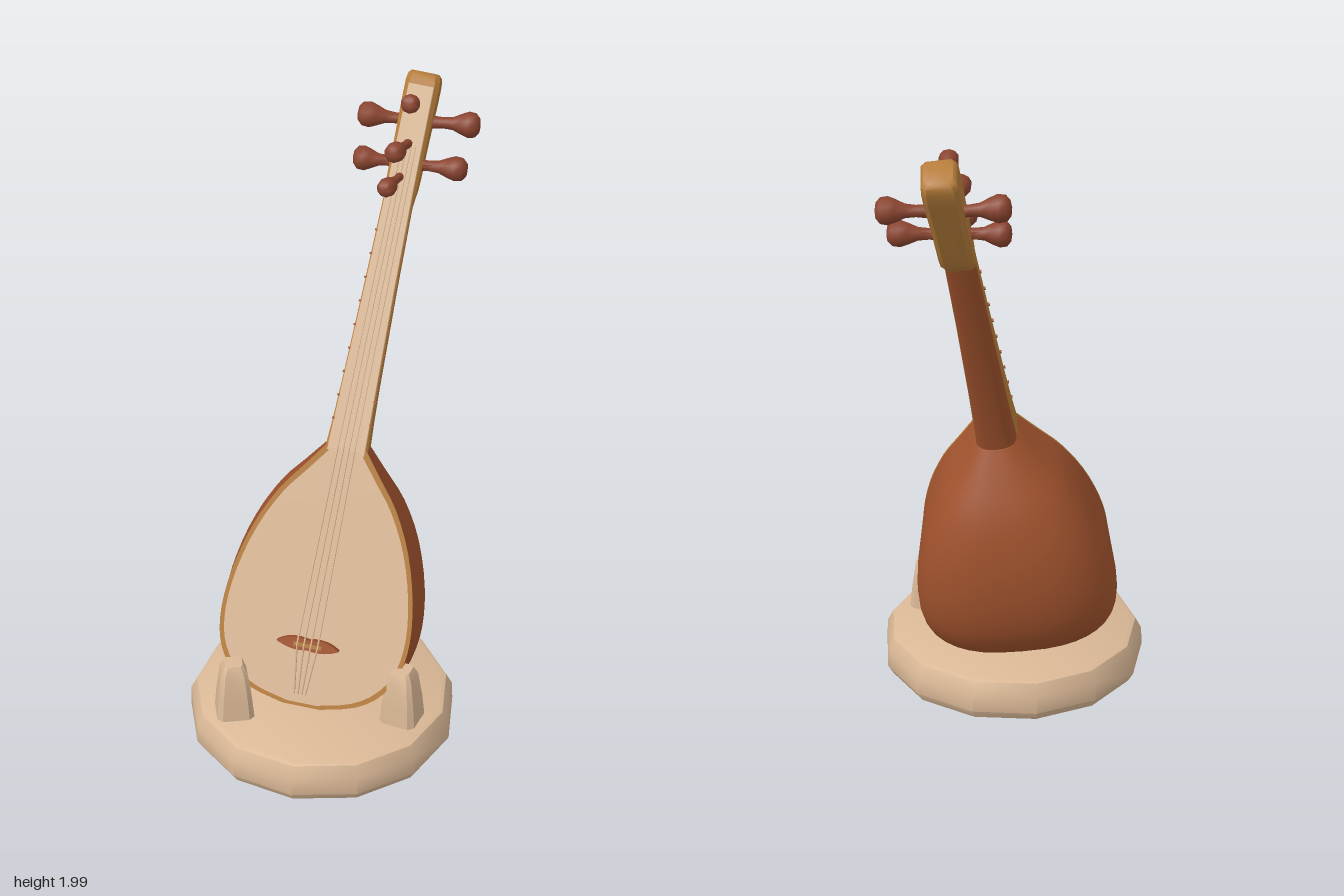
import * as THREE from 'three';
import { toCreasedNormals } from 'three/addons/utils/BufferGeometryUtils.js';

const mat = (name, color) => {
  const m = new THREE.MeshStandardMaterial({ color });
  m.name = name;
  return m;
};
const V = (x, y, z) => new THREE.Vector3(x, y, z);

// Closed skin through rings of equal point count, listed from bottom to top
function loft(rings, crease = 0.7) {
  const n = rings[0].length, pos = [], idx = [];
  rings.forEach(r => r.forEach(p => pos.push(p.x, p.y, p.z)));
  for (let i = 0; i < rings.length - 1; i++) {
    for (let j = 0; j < n; j++) {
      const a = i * n + j, b = i * n + (j + 1) % n;
      idx.push(a, b, a + n, b, b + n, a + n);
    }
  }
  [0, rings.length - 1].forEach((ri, top) => {
    const c = pos.length / 3, m = V(0, 0, 0);
    rings[ri].forEach(p => m.addScaledVector(p, 1 / n));
    pos.push(m.x, m.y, m.z);
    for (let j = 0; j < n; j++) {
      const a = ri * n + j, b = ri * n + (j + 1) % n;
      top ? idx.push(c, a, b) : idx.push(c, b, a);
    }
  });
  const g = new THREE.BufferGeometry();
  g.setAttribute('position', new THREE.Float32BufferAttribute(pos, 3));
  g.setIndex(idx);
  return toCreasedNormals(g, crease);
}

// D-shaped ring: flat front at z = z0, rounded back reaching z0 - d
function dRing(y, w, d, z0, power, bulge, steps) {
  const ring = [];
  for (let i = 0; i <= steps; i++) {
    const a = Math.PI * i / steps, c = Math.cos(a), s = Math.abs(Math.sin(a));
    const x = w * Math.sign(c) * Math.pow(Math.abs(c), power) * (1 + bulge * Math.sin(Math.min(a, Math.PI - a) * 2));
    ring.push(V(x, y, z0 - d * Math.pow(s, power)));
  }
  return ring;
}

// Rectangular ring with cut corners
function boxRing(y, w, z1, z0, c) {
  return [[w, z1 - c], [w, z0 + c], [w - c, z0], [c - w, z0], [-w, z0 + c], [-w, z1 - c], [c - w, z1], [w - c, z1]]
    .map(([x, z]) => V(x, y, z));
}

// Group standing at a point, its y axis along dir and its face turned slightly to +x
function frame(name, origin, dir) {
  const y = dir.clone().normalize();
  const x = V(Math.cos(0.09), 0, -Math.sin(0.09));
  x.addScaledVector(y, -x.dot(y)).normalize();
  const g = new THREE.Group();
  g.name = name;
  g.quaternion.setFromRotationMatrix(new THREE.Matrix4().makeBasis(x, y, x.clone().cross(y)));
  g.position.copy(origin);
  return g;
}

export function createModel() {
  const tan = mat('pale wood', 0xdab896);
  const brown = mat('red brown wood', 0xa0522d);
  const ochre = mat('ochre wood', 0xb57c3a);
  const pegWood = mat('dark red wood', 0x8b4530);

  const model = new THREE.Group();
  model.name = 'luteOnStand';
  const add = (parent, name, geo, material) => {
    const m = new THREE.Mesh(geo, material);
    m.name = name;
    parent.add(m);
    return m;
  };
  const alongY = (mesh, a, b) => {
    mesh.position.copy(a);
    mesh.quaternion.setFromUnitVectors(V(0, 1, 0), b.clone().sub(a).normalize());
  };
  const lathe = (pts, seg, crease) =>
    toCreasedNormals(new THREE.LatheGeometry(pts.map(p => new THREE.Vector2(...p)), seg), crease);
  const rod = (parent, name, a, b, r) => {
    const len = a.distanceTo(b);
    alongY(add(parent, name, new THREE.CylinderGeometry(r, r, len, 6).translate(0, len / 2, 0), tan), a, b);
  };

  // Stand: faceted disc with two upright stops
  add(model, 'standBase', lathe([[0, 0], [0.415, 0], [0.433, 0.03], [0.43, 0.09], [0.41, 0.128], [0.395, 0.135], [0, 0.136]], 13, 0.65), tan)
    .position.set(0, 0, 0.192);
  [['rightStop', -0.245, 0.38, 0.35], ['leftStop', 0.285, 0.295, -0.2]].forEach(([name, x, z, turn]) => {
    const s = add(model, name, loft([[0, 0.06], [0.08, 0.053], [0.17, 0.041], [0.197, 0.028]]
      .map(([y, w]) => boxRing(y, w, w, -w, w * 0.28)), 0.65), tan);
    s.position.set(x, 0.13, z);
    s.rotation.y = turn;
  });

  // Bowl: each point is distance below the neck joint, half width, depth
  const joint = V(0.045, 0.96, 0.03);
  const body = frame('body', joint, V(0.083, 0.906, -0.41));
  model.add(body);
  const profile = new THREE.CatmullRomCurve3([
    V(0.85, 0.06, 0.11), V(0.82, 0.17, 0.2), V(0.76, 0.25, 0.335), V(0.68, 0.292, 0.425),
    V(0.58, 0.304, 0.463), V(0.45, 0.29, 0.452), V(0.3, 0.249, 0.397), V(0.17, 0.187, 0.315),
    V(0.08, 0.121, 0.23), V(0, 0.062, 0.147)]).getPoints(27);
  add(body, 'bowl', loft(profile.map(p => dRing(-p.x, p.y, p.z, 0, 0.66, 0.17, 24))), brown);

  // Soundboard with its rim
  const plate = (k, z) => {
    const mid = -0.43, pt = (p, s) => new THREE.Vector2(s * (p.y - k), mid + (-p.x - mid) * (1 - k * 2));
    const pts = [...profile.map(p => pt(p, 1)), ...[...profile].reverse().map(p => pt(p, -1))];
    return new THREE.ExtrudeGeometry(new THREE.Shape(pts), { depth: 0.006, bevelEnabled: false }).translate(0, 0, z);
  };
  add(body, 'soundboardRim', plate(0, 0), ochre);
  add(body, 'soundboard', plate(0.014, 0.004), tan);

  // Bridge with pointed ends
  const bridge = new THREE.Shape();
  bridge.moveTo(-0.1, 0);
  bridge.quadraticCurveTo(-0.06, 0.03, 0, 0.018);
  bridge.quadraticCurveTo(0.06, 0.03, 0.1, 0);
  bridge.quadraticCurveTo(0.05, -0.025, 0, -0.014);
  bridge.quadraticCurveTo(-0.05, -0.025, -0.1, 0);
  add(body, 'bridge', new THREE.ExtrudeGeometry(bridge, { depth: 0.028, bevelEnabled: false })
    .translate(-0.01, -0.645, 0.008), brown);
  add(body, 'bridgeSaddle', new THREE.BoxGeometry(0.09, 0.012, 0.012).translate(-0.01, -0.643, 0.038), ochre);

  // Neck, leaning back slightly more than the body
  const neck = frame('neck', joint, V(0.12, 1.04, -0.55));
  model.add(neck);
  const neckShape = [[-0.03, 0.068, 0.15], [0.08, 0.062, 0.132], [0.2, 0.058, 0.115], [0.5, 0.051, 0.083], [0.8, 0.046, 0.062]];
  add(neck, 'neckSides', loft(neckShape.map(([y, w, d]) => boxRing(y, w, 0, -d * 0.66, 0.006))), ochre);
  add(neck, 'neckBack', loft(neckShape.map(([y, w, d]) => dRing(y, w * 0.98, d * 0.4, -d * 0.6, 0.8, 0, 10))), brown);

  // Headstock with a softened top
  add(neck, 'headstock', loft([[0.75, 0.045, 0, 0.055], [0.79, 0.047, 0, 0.075], [0.82, 0.049, 0, 0.1], [0.86, 0.05, 0, 0.108],
    [0.97, 0.051, 0, 0.11], [1.1, 0.053, 0, 0.122], [1.15, 0.053, 0.002, 0.122], [1.172, 0.05, 0.008, 0.116],
    [1.182, 0.042, 0.02, 0.104]].map(([y, w, f, d]) => boxRing(y, w, -f, -d, 0.014)), 0.75), ochre);

  // Fingerboard running up onto the headstock
  add(neck, 'fingerboard', loft([[-0.02, 0.06], [0.5, 0.047], [0.8, 0.042], [1.14, 0.04]]
    .map(([y, w]) => boxRing(y, w, 0.007, -0.001, 0.002))), tan);

  // Fret ends along both edges
  for (let i = 0; i < 9; i++) {
    const y = 0.08 + i * 0.075, w = 0.0595 - i * 0.0016;
    [-1, 1].forEach(s => add(neck, 'fretEnd',
      new THREE.BoxGeometry(0.008, 0.006, 0.009).translate(s * w, y, 0.003), brown));
  }

  // Strings: tail to bridge, bridge to joint, joint to headstock
  for (let i = 0; i < 4; i++) {
    const k = i - 1.5;
    rod(body, 'tailString', V(k * 0.012 - 0.01, -0.81, 0.012), V(k * 0.022 - 0.01, -0.643, 0.046), 0.003);
    rod(body, 'string', V(k * 0.022 - 0.01, -0.643, 0.046), V(k * 0.018, 0, 0.012), 0.003);
    rod(neck, 'neckString', V(k * 0.018, 0, 0.008), V(k * 0.014, 0.95, 0.007), 0.002);
  }

  // Tuning pegs: slim stem swelling to a rounded knob
  const peg = (a, b, r) => {
    const L = a.distanceTo(b);
    const pts = [[0, 0], [0.5, 0], [0.42, 0.25], [0.5, 0.45], [0.8, 0.62], [1, 0.76], [0.92, 0.9], [0.55, 0.98], [0, 1]];
    alongY(add(model, 'tuningPeg', lathe(pts.map(([x, y]) => [x * r, y * L]), 10, 1), pegWood), a, b);
  };
  peg(V(0.12, 1.835, -0.515), V(-0.04, 1.847, -0.505), 0.041);
  peg(V(0.19, 1.835, -0.515), V(0.345, 1.835, -0.52), 0.041);
  peg(V(0.11, 1.735, -0.42), V(-0.035, 1.737, -0.42), 0.039);
  peg(V(0.16, 1.732, -0.42), V(0.325, 1.73, -0.42), 0.039);
  peg(V(0.15, 1.91, -0.5), V(0.145, 1.955, -0.37), 0.03);
  peg(V(0.14, 1.8, -0.43), V(0.118, 1.84, -0.255), 0.032);
  peg(V(0.125, 1.71, -0.38), V(0.1, 1.733, -0.225), 0.03);

  return model;
}
